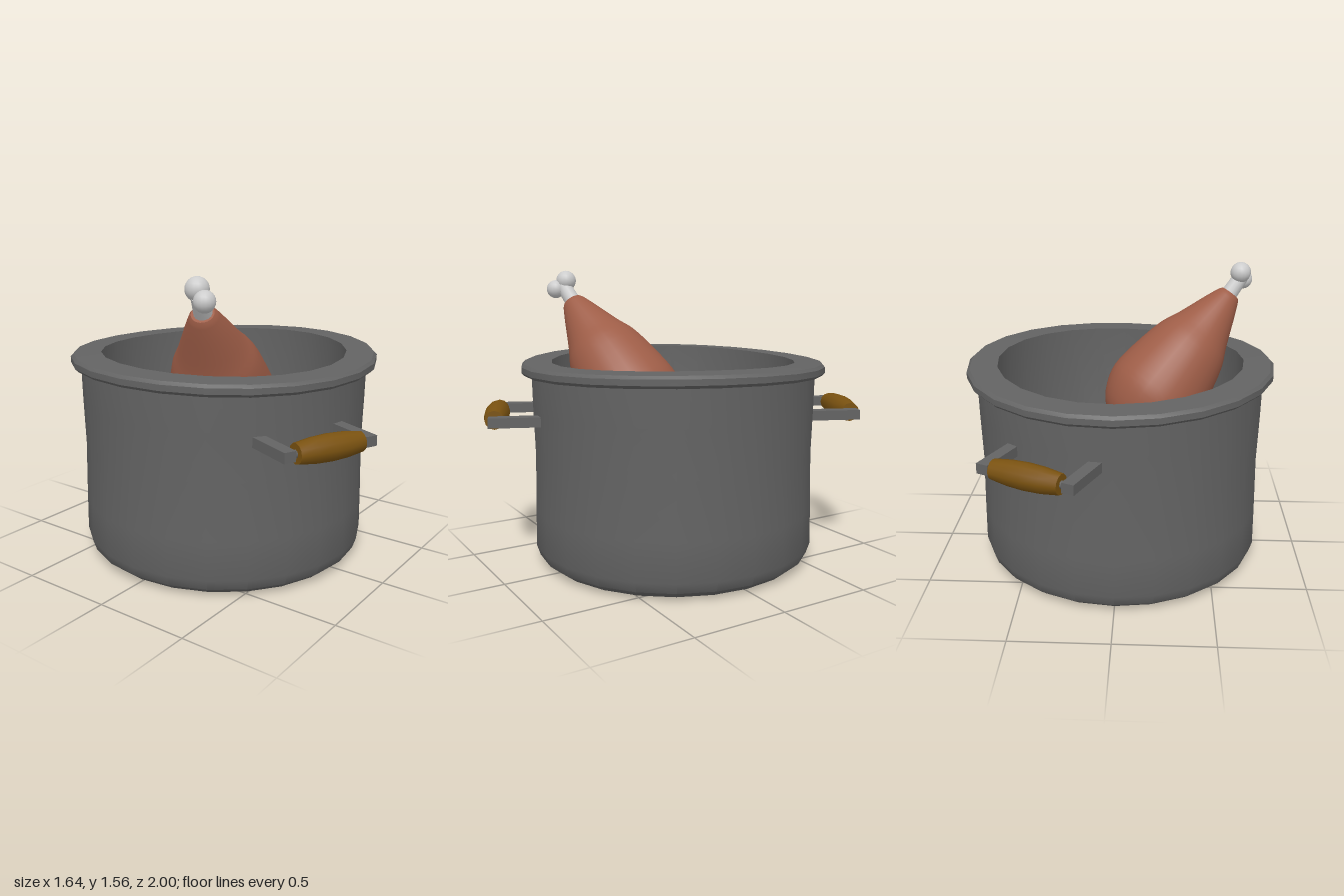
import * as THREE from 'three';
import { toCreasedNormals } from 'three/addons/utils/BufferGeometryUtils.js';

const material = (color) => new THREE.MeshStandardMaterial({ color });
const steel = material(0x636363);
const wood = material(0x7a5210);
const meat = material(0x9e5d47);
const bone = material(0xcccccc);

function addMesh(parent, name, geometry, mat) {
  const mesh = new THREE.Mesh(geometry, mat);
  mesh.name = name;
  parent.add(mesh);
  return mesh;
}

// Turned solid from [radius, height] pairs, listed from bottom to top
function turned(points, sides) {
  return new THREE.LatheGeometry(points.map(([r, y]) => new THREE.Vector2(r, y)), sides);
}

// Hollow pot: outer wall, flat rim, then down the inner wall to the floor
function createPot() {
  const geometry = turned([
    [0, 0], [0.66, 0], [0.71, 0.012], [0.75, 0.045], [0.768, 0.1],
    [0.765, 0.3], [0.758, 0.6], [0.765, 0.85], [0.768, 1.035],
    [0.805, 1.035], [0.82, 1.05], [0.82, 1.08], [0.805, 1.095],
    [0.66, 1.098], [0.66, 0.2], [0.635, 0.13], [0.57, 0.1], [0, 0.1],
  ], 24);
  // Slightly bent rim: high towards the sides, low at front and back
  const pos = geometry.attributes.position;
  for (let i = 0; i < pos.count; i++) {
    const y = pos.getY(i);
    if (y < 1) continue;
    const x = pos.getX(i), z = pos.getZ(i);
    const angle = Math.atan2(z, x) - 0.3;
    pos.setY(i, y + 0.01 * Math.cos(2 * angle) + 0.006 * z - 0.004);
  }
  return toCreasedNormals(geometry, 0.6);
}

// Side handle: two steel brackets and a barrel-shaped wooden grip
function createHandle(name, angle) {
  const handle = new THREE.Group();
  handle.name = name;
  for (const side of [-1, 1]) {
    const bracket = addMesh(handle, 'handleBracket', new THREE.BoxGeometry(0.063, 0.052, 0.28), steel);
    bracket.position.set(side * 0.228, 0.803, 0.84);
  }
  const profile = [[0, -0.182], [0.05, -0.182], [0.062, -0.09], [0.066, 0], [0.062, 0.09], [0.05, 0.182], [0, 0.182]];
  const grip = addMesh(handle, 'handleGrip', toCreasedNormals(turned(profile, 12), 0.65), wood);
  grip.rotation.z = Math.PI / 2;
  grip.position.set(0, 0.805, 0.953);
  // Thin pin joining the grip to its brackets
  const pin = addMesh(handle, 'handlePin', new THREE.CylinderGeometry(0.02, 0.02, 0.42, 8), steel);
  pin.rotation.z = Math.PI / 2;
  pin.position.copy(grip.position);
  handle.rotation.y = angle;
  return handle;
}

// Roast leg leaning on the rim, built along +y from its narrow end
function createDrumstick() {
  const leg = new THREE.Group();
  leg.name = 'drumstick';
  const outline = new THREE.SplineCurve([
    [0, 0.98], [0.12, 0.955], [0.215, 0.88], [0.272, 0.75], [0.272, 0.62], [0.222, 0.38],
    [0.165, 0.25], [0.1, 0.09], [0.067, 0.015],
  ].reverse().map(([r, y]) => new THREE.Vector2(r, y))).getPoints(28);
  outline.forEach((p) => { p.x = Math.max(p.x, 0); });
  outline.unshift(new THREE.Vector2(0, 0), new THREE.Vector2(0.055, 0));
  const flesh = addMesh(leg, 'meat', toCreasedNormals(new THREE.LatheGeometry(outline, 28), 0.8), meat);
  const axis = new THREE.Vector3(0.59, -0.766, -0.253).normalize();
  flesh.quaternion.setFromUnitVectors(new THREE.Vector3(0, 1, 0), axis);
  flesh.position.set(-0.6, 1.39, 0.32);

  // Bone shaft from inside the meat to the knuckles
  const start = new THREE.Vector3(-0.575, 1.36, 0.31);
  const end = new THREE.Vector3(-0.66, 1.48, 0.35);
  const shaft = addMesh(leg, 'boneShaft', new THREE.CylinderGeometry(0.042, 0.046, start.distanceTo(end), 14), bone);
  shaft.quaternion.setFromUnitVectors(new THREE.Vector3(0, 1, 0), end.clone().sub(start).normalize());
  shaft.position.copy(start).lerp(end, 0.5);

  // Bone knuckles
  for (const [x, y, z, r] of [[-0.655, 1.507, 0.333, 0.057], [-0.676, 1.458, 0.39, 0.052]]) {
    addMesh(leg, 'boneKnuckle', new THREE.SphereGeometry(r, 16, 12), bone).position.set(x, y, z);
  }
  return leg;
}

export function createModel() {
  const model = new THREE.Group();
  model.name = 'cookingPot';
  addMesh(model, 'pot', createPot(), steel);
  model.add(createHandle('frontHandle', -0.418));
  model.add(createHandle('backHandle', Math.PI - 0.418));
  model.add(createDrumstick());
  return model;
}
